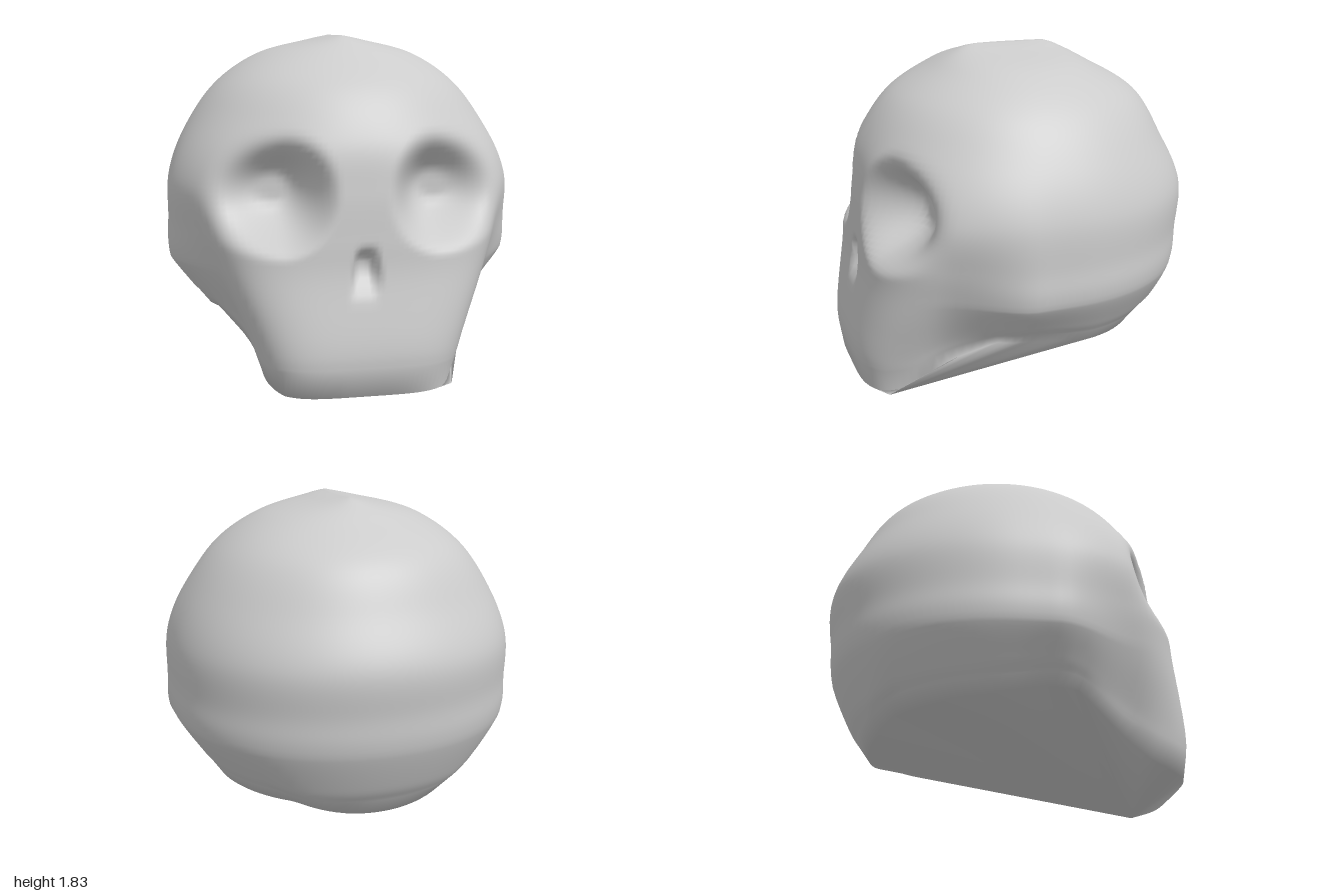
import * as THREE from 'three';
import { mergeVertices } from 'three/addons/utils/BufferGeometryUtils.js';

const { smoothstep, lerp, clamp } = THREE.MathUtils;

// Horizontal sections from base to crown: [height, half width, front z, back z, half width of the face]
const SECTIONS = [
  [0.00, 0.76, 0.98, -0.73, 0.545],
  [0.14, 0.81, 1.00, -0.795, 0.585],
  [0.28, 0.865, 0.995, -0.86, 0.63],
  [0.60, 0.97, 0.935, -0.96, 0.76],
  [0.80, 0.975, 0.92, -0.98, 0.84],
  [1.05, 0.965, 0.90, -0.995, 0.92],
  [1.30, 0.87, 0.85, -0.88, 0.87],
  [1.55, 0.695, 0.69, -0.73, 0.695],
  [1.72, 0.45, 0.44, -0.45, 0.45],
  [1.80, 0.15, 0.29, -0.295, 0.15],
  [1.825, 0.02, 0.20, -0.22, 0.02],
];

// Height of the lower rim along z: jaw at the front, raised flanks, lower back edge
const RIM = [[-0.73, 0.17], [-0.6, 0.245], [-0.2, 0.27], [0.17, 0.33], [0.33, 0.33], [0.5, 0.22], [0.75, 0.04], [0.9, 0]];
// Jaw corner from which the underside fans out
const JAW_CORNER = new THREE.Vector3(0.48, 0, 0.87);
const SEGMENTS = 128;
const STEPS = 8;

function rimHeight(z) {
  if (z <= RIM[0][0]) return RIM[0][1];
  for (let i = 1; i < RIM.length; i++) {
    const [z0, y0] = RIM[i - 1], [z1, y1] = RIM[i];
    if (z <= z1) return lerp(y0, y1, (z - z0) / (z1 - z0));
  }
  return 0;
}

// Smooth section between the listed ones (Catmull-Rom on every column)
function sectionAt(t) {
  const last = SECTIONS.length - 1;
  const i = Math.min(Math.floor(t), last - 1), f = t - i;
  const at = (k) => SECTIONS[clamp(k, 0, last)];
  return SECTIONS[0].map((_, c) => {
    const a = at(i - 1)[c], b = at(i)[c], d = at(i + 1)[c], e = at(i + 2)[c];
    return b + 0.5 * f * (d - a + f * (2 * a - 5 * b + 4 * d - e + f * (3 * (b - d) + e - a)));
  });
}

// Eye sockets and nasal opening, pressed into the face
function carve(p) {
  if (p.z < 0.3) return p;
  const ax = Math.abs(p.x);
  // sockets have a steep inner wall and open towards the temples
  const reach = ax < 0.42 ? 0.28 : 0.48;
  const d = Math.hypot((ax - 0.42) / reach, (p.y - 1.03) / 0.31);
  const socket = 1 - smoothstep(d, 0.2, 1.06);
  p.z -= Math.max(0, p.z - 0.585) * socket;

  const up = clamp((p.y - 0.52) / 0.25, 0, 1);
  const noseWidth = lerp(0.085, 0.05, up);
  const inside = 1 - smoothstep(ax, noseWidth * 0.55, noseWidth * 1.15);
  p.z -= 0.07 * inside * smoothstep(p.y, 0.5, 0.64) * (1 - smoothstep(p.y, 0.68, 0.78));
  return p;
}

// One closed ring of points around the skull
function ring([y, w, zf, zb, face]) {
  const points = [];
  const frontPower = 2.1 + 2.3 * (1 - smoothstep(y, 0.4, 1.45));
  for (let i = 0; i < SEGMENTS; i++) {
    const t = (i / SEGMENTS) * Math.PI * 2 - Math.PI;
    const a = t - 0.4 * Math.sin(t); // denser towards the face
    const s = Math.sin(a), c = Math.cos(a);
    const n = c > 0 ? frontPower : 2.1;
    const depth = c > 0 ? zf : -zb;
    const r = (Math.abs(s / w) ** n + Math.abs(c / depth) ** n) ** (-1 / n);
    const z = r * c;
    // the face narrows in front of the braincase
    const x = r * s * lerp(1, face / w, smoothstep(z, 0.18, 0.65));
    const height = y < 0.6 ? lerp(rimHeight(z), 0.6, y / 0.6) : y;
    points.push(carve(new THREE.Vector3(x, height, z)));
  }
  return points;
}

function skullGeometry() {
  const rim = ring(SECTIONS[0]);
  // underside, then the lower rim
  const rings = [rim.map(() => JAW_CORNER), rim];
  // walls, face and vault
  for (let k = STEPS; k <= (SECTIONS.length - 1) * STEPS; k++) rings.push(ring(sectionAt(k / STEPS)));
  // crown closes onto its middle line
  rings.push(rings[rings.length - 1].map((p) => new THREE.Vector3(0, 1.825, p.z * 0.9)));

  const index = [];
  for (let j = 0; j < rings.length - 1; j++) {
    for (let i = 0; i < SEGMENTS; i++) {
      const n = (i + 1) % SEGMENTS;
      const a = j * SEGMENTS + i, b = j * SEGMENTS + n;
      const c = a + SEGMENTS, d = b + SEGMENTS;
      index.push(a, b, d, a, d, c);
    }
  }
  let geometry = new THREE.BufferGeometry().setFromPoints(rings.flat());
  geometry.setIndex(index);
  geometry = mergeVertices(geometry, 1e-4);
  geometry.computeVertexNormals();
  return geometry;
}

export function createModel() {
  const group = new THREE.Group();
  group.name = 'skullModel';
  const material = new THREE.MeshStandardMaterial({ color: 0xcccccc, side: THREE.DoubleSide });
  const skull = new THREE.Mesh(skullGeometry(), material);
  skull.name = 'skull';
  group.add(skull);
  return group;
}
